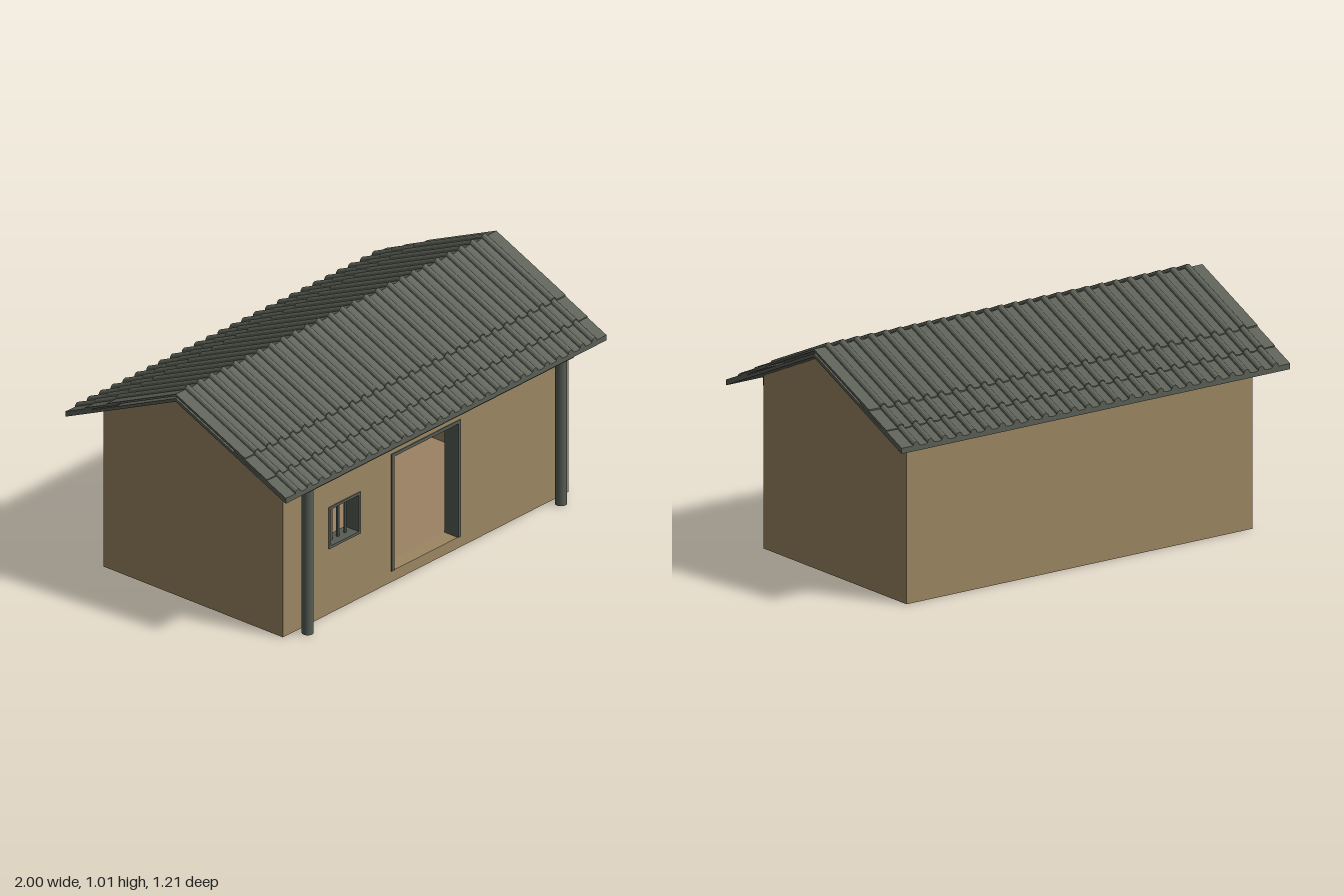
import * as THREE from 'three';

const SLOPE = 0.446;   // roof fall per unit of depth
const HX = 0.89, HZ = 0.492, WALL = 0.07;

const mat = (name, color) => {
  const m = new THREE.MeshStandardMaterial({ color });
  m.name = name;
  return m;
};

export function createModel() {
  const mud = mat('mud wall', 0x9c8662);
  const earth = mat('earth floor', 0x9c8264);
  const slate = mat('grey tile', 0x5b5f55);
  const timber = mat('grey timber', 0x565c54);

  const house = new THREE.Group();
  house.name = 'house';

  const add = (name, geometry, material, parent = house) => {
    const mesh = new THREE.Mesh(geometry, material);
    mesh.name = name;
    parent.add(mesh);
    return mesh;
  };

  // Box given by its minimum and maximum corners
  const block = (name, material, x0, x1, y0, y1, z0, z1, parent) => {
    const g = new THREE.BoxGeometry(x1 - x0, y1 - y0, z1 - z0);
    g.translate((x0 + x1) / 2, (y0 + y1) / 2, (z0 + z1) / 2);
    return add(name, g, material, parent);
  };

  // Side profile of [z, y] points, extruded from x0 to x1
  const sideProfile = (points, x0, x1) => {
    const shape = new THREE.Shape(points.map(([z, y]) => new THREE.Vector2(-z, y)));
    const g = new THREE.ExtrudeGeometry(shape, { depth: x1 - x0, bevelEnabled: false });
    return g.rotateY(Math.PI / 2).translate(x0, 0, 0);
  };

  const under = (z) => 0.965 - SLOPE * Math.abs(z); // underside of the roof

  // Front wall with door and window openings
  const front = new THREE.Shape();
  front.moveTo(-HX, 0).lineTo(HX, 0).lineTo(HX, under(HZ)).lineTo(-HX, under(HZ)).closePath();
  const opening = (x0, x1, y0, y1) => {
    const p = new THREE.Path();
    p.moveTo(x0, y0).lineTo(x0, y1).lineTo(x1, y1).lineTo(x1, y0).closePath();
    front.holes.push(p);
  };
  opening(-0.207, 0.207, 0.05, 0.583);
  opening(-0.6, -0.415, 0.306, 0.486);
  const frontGeo = new THREE.ExtrudeGeometry(front, { depth: WALL, bevelEnabled: false });
  add('frontWall', frontGeo.translate(0, 0, HZ - WALL), mud);

  // Back wall, gable walls and floor
  block('backWall', mud, -HX, HX, 0, under(HZ), -HZ, -HZ + WALL);
  const gable = [[HZ, 0], [HZ, under(HZ)], [0, under(0)], [-HZ, under(HZ)], [-HZ, 0]];
  add('leftGable', sideProfile(gable, HX - WALL, HX), mud);
  add('rightGable', sideProfile(gable, -HX, -HX + WALL), mud);
  block('base', mud, -HX + WALL, HX - WALL, 0, 0.045, -HZ + WALL, HZ - WALL);
  block('floor', earth, -HX + WALL, HX - WALL, 0.045, 0.05, -HZ + WALL, HZ - WALL);

  // Door and window frames lining the openings
  const Z0 = HZ - WALL - 0.003, Z1 = HZ + 0.004;
  const door = new THREE.Group();
  door.name = 'doorFrame';
  house.add(door);
  for (const s of [-1, 1]) {
    const xs = [s * 0.2, s * 0.215].sort((a, b) => a - b);
    block('doorJamb', timber, xs[0], xs[1], 0.05, 0.575, Z0, Z1, door);
  }
  block('doorHead', timber, -0.215, 0.215, 0.575, 0.59, Z0, Z1, door);

  const grille = new THREE.Group();
  grille.name = 'window';
  house.add(grille);
  for (const x of [-0.606, -0.421]) block('windowJamb', timber, x, x + 0.012, 0.3, 0.492, Z0, Z1, grille);
  for (const y of [0.3, 0.48]) block('windowRail', timber, -0.594, -0.421, y, y + 0.012, Z0, Z1, grille);
  for (const x of [-0.553, -0.508, -0.463]) {
    block('windowBar', timber, x - 0.005, x + 0.005, 0.312, 0.48, HZ - 0.04, HZ - 0.03, grille);
  }

  // Porch posts and beams
  for (const s of [-1, 1]) {
    const post = new THREE.CylinderGeometry(0.025, 0.025, 0.68, 20);
    add('post', post.translate(s * 0.79, 0.34, 0.54), timber);
  }
  const beam = [[0.505, 0.67], [0.575, 0.67], [0.575, under(0.575) + 0.004], [0.505, under(0.505) + 0.004]];
  add('frontBeam', sideProfile(beam, -0.83, 0.83), timber);
  block('backBeam', timber, -0.83, 0.83, 0.67, under(HZ), -HZ - 0.003, -HZ + 0.03);

  // Tile cross-section: round ribs with shallow pans between
  const COUNT = 26, PITCH = 0.074, R = 0.016;
  const tile = new THREE.Shape();
  tile.moveTo(-1, -0.01);
  tile.lineTo(1, -0.01);
  tile.lineTo(1, 0);
  for (let i = COUNT - 1; i >= 0; i--) {
    const cx = (i - (COUNT - 1) / 2) * PITCH;
    for (let k = 0; k <= 6; k++) {
      const a = (k / 6) * Math.PI;
      tile.lineTo(cx + R * Math.cos(a), 0.016 * Math.sin(a) - 0.001);
    }
    if (i > 0) for (const t of [0.25, 0.5, 0.75]) {
      tile.lineTo(cx - R - t * (PITCH - 2 * R), -0.005 * Math.sin(t * Math.PI));
    }
  }
  tile.lineTo(-1, 0);

  // Slides a flat layer down the pitch, keeping its ends upright
  const pitch = new THREE.Matrix4().set(1, 0, 0, 0, 0, 1, -SLOPE, 0, 0, 0, 1, 0, 0, 0, 0, 1);
  const EAVE = 0.605;
  const deckGeo = new THREE.BoxGeometry(2, 0.015, EAVE).translate(0, 0.9725, EAVE / 2).applyMatrix4(pitch);
  const courses = [[0, 0.38, 1.0], [0.32, 0.5, 0.994], [0.46, EAVE, 0.9895]].map(([z0, z1, y]) =>
    new THREE.ExtrudeGeometry(tile, { depth: z1 - z0, bevelEnabled: false })
      .translate(0, y, z0).applyMatrix4(pitch));

  for (const [name, turn] of [['frontRoof', 0], ['backRoof', Math.PI]]) {
    const slope = new THREE.Group();
    slope.name = name;
    slope.rotation.y = turn;
    house.add(slope);
    add('roofDeck', deckGeo, slate, slope);
    courses.forEach((g) => add('tileCourse', g, slate, slope));
  }

  return house;
}
